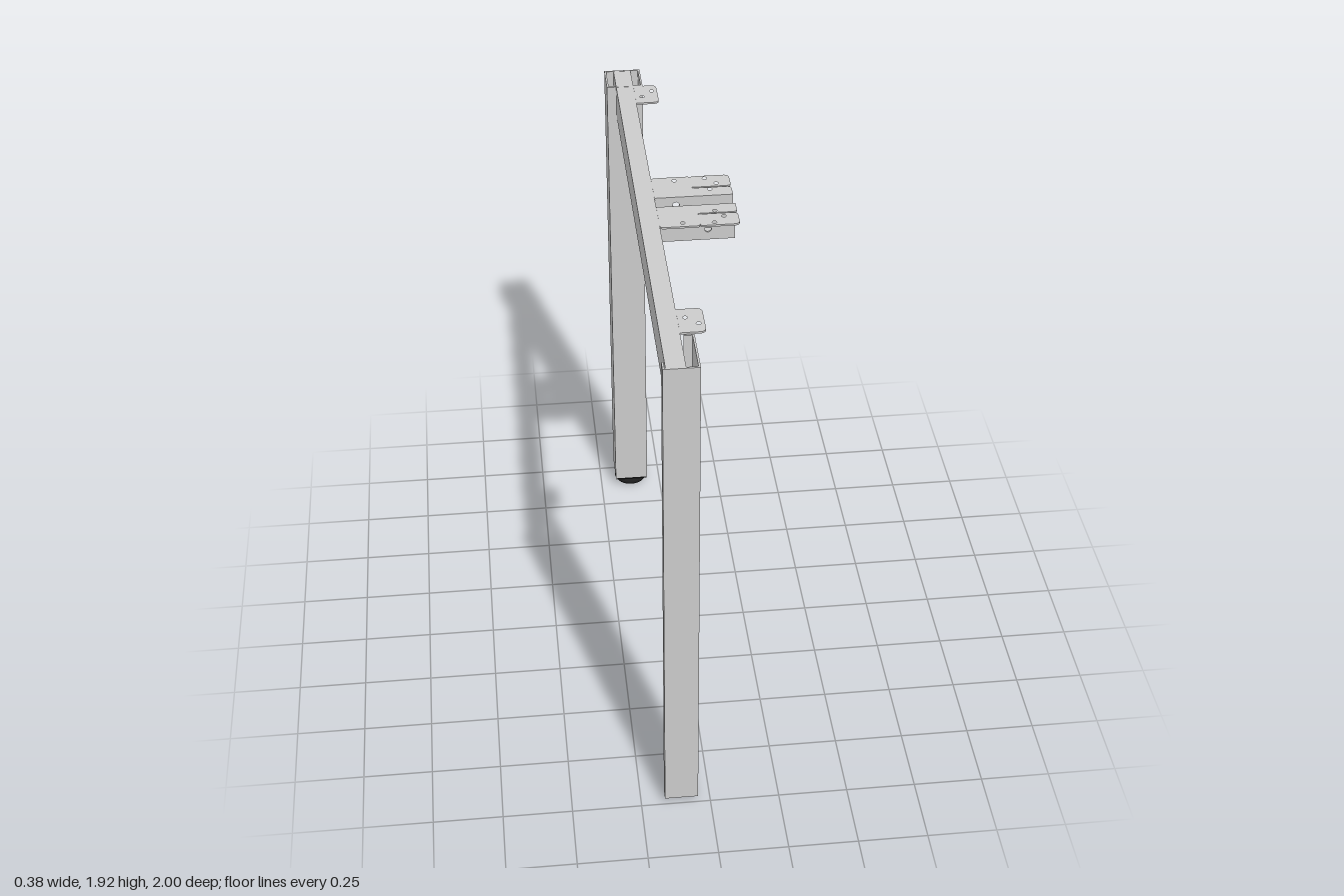
import * as THREE from 'three';

const TOP = 1.92, T = 0.007;
const grey = new THREE.MeshStandardMaterial({ color: 0xcccccc, flatShading: true });
const black = new THREE.MeshStandardMaterial({ color: 0x1c1c1c });

function add(parent, name, geometry, material = grey) {
  const mesh = new THREE.Mesh(geometry, material);
  mesh.name = name;
  parent.add(mesh);
  return mesh;
}

function hole(shape, x, y, r = 0.008) {
  shape.holes.push(new THREE.Path().absarc(x, y, r, 0, Math.PI * 2, true));
}

// Extrudes a plan outline (x, -z) upward from y0 to y1
function upright(shape, y0, y1) {
  return new THREE.ExtrudeGeometry(shape, { depth: y1 - y0, bevelEnabled: false, curveSegments: 8 })
    .rotateX(-Math.PI / 2).translate(0, y0, 0);
}

const outline = (points) => new THREE.Shape(points.map(([x, z]) => new THREE.Vector2(x, -z)));

function box(x0, x1, y0, y1, z0, z1) {
  return new THREE.BoxGeometry(x1 - x0, y1 - y0, z1 - z0)
    .translate((x0 + x1) / 2, (y0 + y1) / 2, (z0 + z1) / 2);
}

// Thin horizontal plate; radii run: (x0,z0), (x1,z0), (x1,z1), (x0,z1)
function plate(x0, x1, z0, z1, radii, holes) {
  const corners = [[x0, z0, 1, 1], [x1, z0, -1, 1], [x1, z1, -1, -1], [x0, z1, 1, -1]];
  const s = new THREE.Shape();
  corners.forEach(([x, z, dx, dz], i) => {
    const r = radii[i];
    const a = [x, -(z + dz * r)], b = [x + dx * r, -z];
    const [p, q] = i % 2 ? [b, a] : [a, b];
    if (i === 0) s.moveTo(...p); else s.lineTo(...p);
    if (r > 0) s.quadraticCurveTo(x, -z, ...q);
  });
  s.closePath();
  holes.forEach(([x, z]) => hole(s, x, -z));
  return upright(s, TOP - T, TOP);
}

const lathe = (points) => new THREE.LatheGeometry(points.map((p) => new THREE.Vector2(...p)), 32);

export function createModel() {
  const model = new THREE.Group();
  model.name = 'tableLegFrame';

  // Front leg: open folded channel with a short lip on each edge
  const frontLeg = new THREE.Group();
  frontLeg.name = 'frontLeg';
  model.add(frontLeg);
  const a = -0.165, b = -0.045, z0 = 0.815;
  add(frontLeg, 'frontLegChannel', upright(outline([
    [a, 1], [b, 1], [b, z0], [b - 0.035, z0], [b - 0.035, z0 + T], [b - T, z0 + T],
    [b - T, 1 - T], [a + T, 1 - T], [a + T, 0.96], [a, 0.96],
  ]), 0.028, TOP));
  // Corner sheet under the channel that carries the foot, facing down
  add(frontLeg, 'frontFootPlate', new THREE.ShapeGeometry(outline([
    [a + T, 1 - T], [b - T, 1 - T], [b - T, z0 + T], [b - 0.035, z0 + T],
  ])).rotateX(-Math.PI / 2).scale(1, -1, 1).translate(0, 0.034, 0));
  const sheet = frontLeg.getObjectByName('frontFootPlate').geometry;
  sheet.setIndex(Array.from(sheet.index.array).reverse());
  sheet.computeVertexNormals();
  add(frontLeg, 'frontFoot', lathe([
    [0, 0], [0.024, 0], [0.028, 0.005], [0.028, 0.015], [0.02, 0.02], [0.02, 0.05], [0, 0.05],
  ]), black).position.set(-0.083, 0, 0.922);

  // Rear leg: square tube with a plug and a round foot
  const rearLeg = new THREE.Group();
  rearLeg.name = 'rearLeg';
  model.add(rearLeg);
  const l = -0.19, r = -0.055, back = -1, front = -0.865;
  const tube = outline([[l, front], [r, front], [r, back], [l, back]]);
  tube.holes.push(outline([
    [l + T, front - T], [l + T, back + T], [r - T, back + T], [r - T, front - T],
  ]));
  add(rearLeg, 'rearLegTube', upright(tube, 0.045, TOP));
  add(rearLeg, 'rearLegPlug', box(l + 0.002, r - 0.002, 0.038, 0.046, back + 0.002, front - 0.002), black);
  add(rearLeg, 'rearLegPlugCore', box(l + T, r - T, 0.046, 0.1, back + T, front - T), black);
  add(rearLeg, 'rearFoot', lathe([
    [0, 0], [0.05, 0], [0.062, 0.006], [0.067, 0.014], [0.067, 0.022], [0.058, 0.029],
    [0.035, 0.034], [0.035, 0.042], [0, 0.042],
  ]), black).position.set((l + r) / 2, 0, (back + front) / 2);

  // Top rail between the legs
  add(model, 'topRail', box(-0.155, -0.09, 1.79, TOP - 0.001, -0.998, 0.992));

  // Small rounded fixing tabs near each leg
  const tabRadii = [0, 0.022, 0.022, 0];
  add(model, 'frontTab', plate(-0.09, -0.005, 0.67, 0.805, tabRadii, [[-0.065, 0.72], [-0.025, 0.757]]));
  add(model, 'rearTab', plate(-0.09, -0.005, -0.865, -0.73, tabRadii, [[-0.065, -0.778], [-0.025, -0.82]]));

  // Centre bracket: U channel with slotted flanges
  const bracket = new THREE.Group();
  bracket.name = 'centreBracket';
  model.add(bracket);
  const x0 = -0.09, x1 = 0.185, w = 0.037;
  add(bracket, 'bracketFloor', box(x0, x1, 1.783, 1.783 + T, -w, w));
  for (const s of [-1, 1]) {
    const wall = new THREE.Shape([[x0, 1.783], [x1, 1.783], [x1, TOP], [x0, TOP]]
      .map((p) => new THREE.Vector2(...p)));
    hole(wall, -0.015, 1.888, 0.012);
    hole(wall, 0.09, 1.825, 0.012);
    add(bracket, 'bracketWall', new THREE.ExtrudeGeometry(wall, { depth: T, bevelEnabled: false, curveSegments: 8 })
      .translate(0, 0, s > 0 ? w - T : -w));

    // Flange parts are laid out by distance from the centre line
    const flange = (name, xa, xb, near, far, [rNear, rFarLeft, rFarRight], holes) => {
      const placed = holes.map(([x, z]) => [x, z * s]);
      const geometry = s > 0
        ? plate(xa, xb, near, far, [0, rNear, rFarRight, rFarLeft], placed)
        : plate(xa, xb, -far, -near, [rFarLeft, rFarRight, rNear, 0], placed);
      add(bracket, name, geometry);
    };
    flange('flangeBase', x0, 0.048, w, 0.167, [0, 0.014, 0.012], [[-0.01, 0.143]]);
    flange('flangeInnerFinger', 0.048, x1, w, 0.086, [0, 0, 0.016], [[0.108, 0.074]]);
    flange('flangeOuterFinger', 0.048, x1, 0.092, 0.167, [0.016, 0.012, 0.02], [[0.098, 0.15], [0.135, 0.112]]);
  }

  return model;
}
